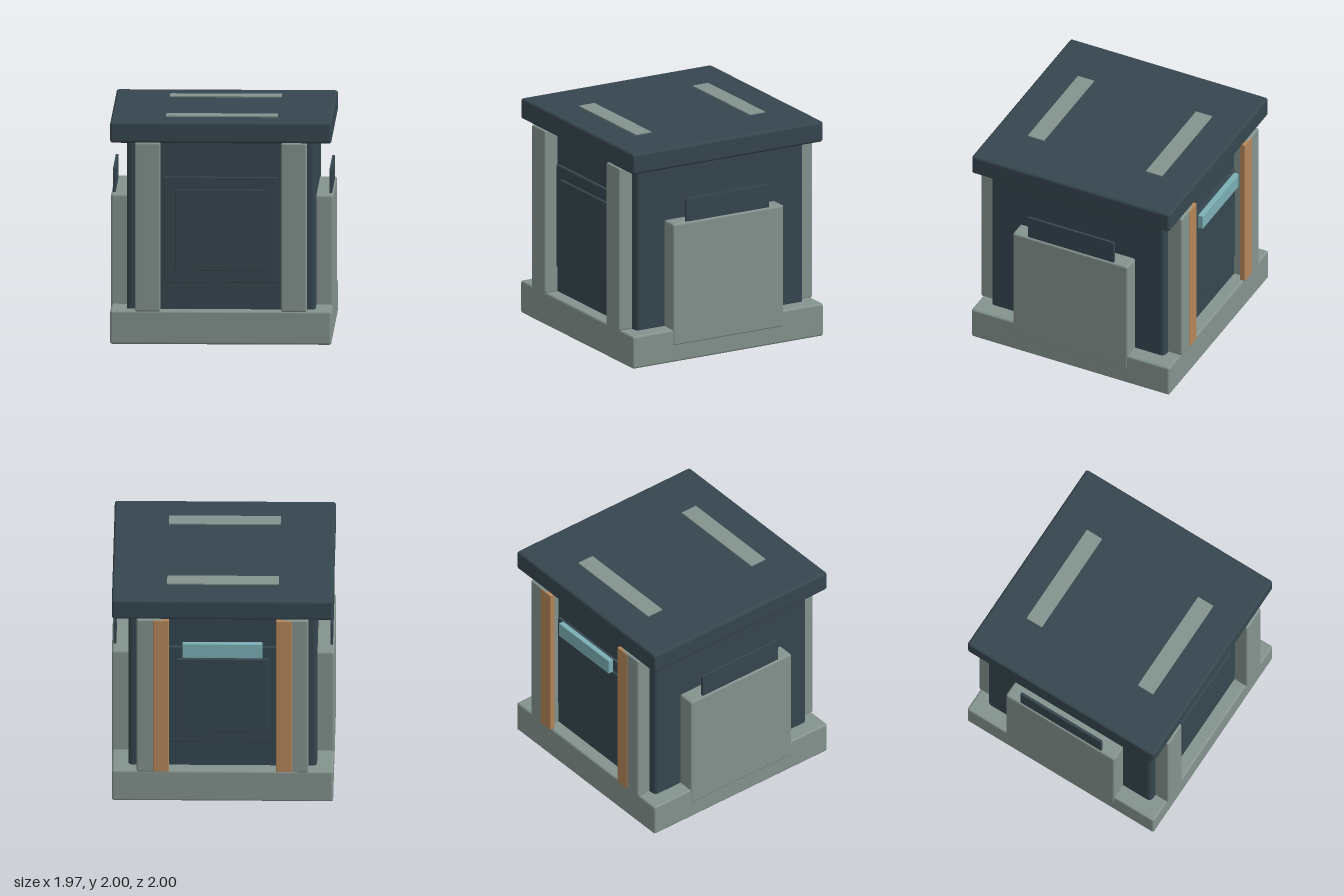
import * as THREE from 'three';
import { RoundedBoxGeometry } from 'three/addons/geometries/RoundedBoxGeometry.js';

export function createModel() {
  const model = new THREE.Group();
  model.name = 'kiosk';

  const material = (name, color) => {
    const m = new THREE.MeshStandardMaterial({ color });
    m.name = name;
    return m;
  };
  const slate = material('slate', 0x36464f);
  const stone = material('stone', 0x84938e);
  const copper = material('copper', 0xb4865a);
  const aqua = material('aqua', 0x7bafb5);

  // Box given by its min and max corners, rounded when r > 0
  const box = (name, mat, [x0, y0, z0], [x1, y1, z1], r = 0) => {
    const size = [x1 - x0, y1 - y0, z1 - z0];
    const geometry = r > 0
      ? new RoundedBoxGeometry(...size, 3, r)
      : new THREE.BoxGeometry(...size);
    const mesh = new THREE.Mesh(geometry, mat);
    mesh.name = name;
    mesh.position.set((x0 + x1) / 2, (y0 + y1) / 2, (z0 + z1) / 2);
    model.add(mesh);
    return mesh;
  };

  // Same box mirrored to both sides of an axis (0 = x, 2 = z)
  const mirrored = (axis, name, mat, min, max, r) => {
    box(name, mat, min, max, r);
    const a = [...min], b = [...max];
    a[axis] = -max[axis];
    b[axis] = -min[axis];
    box(name, mat, a, b, r);
  };

  // Main blocks
  box('base', stone, [-0.98, 0, -0.98], [0.98, 0.3, 0.98], 0.02);
  box('body', slate, [-0.836, 0.24, -0.86], [0.836, 1.86, 0.86], 0.04);
  box('roof', slate, [-0.98, 1.8, -0.98], [0.98, 1.99, 0.98], 0.025);

  // Corner posts on front and back
  for (const x of [-0.76, 0.535]) {
    mirrored(2, 'post', stone, [x, 0.295, 0.82], [x + 0.225, 1.805, 0.995], 0.015);
  }

  // Stepped panels on front and back
  mirrored(2, 'outerPanel', slate, [-0.505, 0.54, 0.84], [0.505, 1.485, 0.89], 0.006);
  mirrored(2, 'innerPanel', slate, [-0.405, 0.65, 0.85], [0.405, 1.375, 0.915], 0.006);

  // Side housings with a thin fin rising from each
  mirrored(0, 'sideHousing', stone, [0.8, 0.15, -0.57], [0.985, 1.28, 0.57], 0.02);
  mirrored(0, 'sideFin', slate, [0.947, 1.2, -0.425], [0.971, 1.49, 0.425]);

  // Roof strips
  mirrored(2, 'roofStrip', stone, [-0.495, 1.98, 0.505], [0.495, 2, 0.665]);

  // Back trim and light bar
  mirrored(0, 'backTrim', copper, [0.475, 0.3, -1], [0.615, 1.8, -0.945], 0.008);
  box('lightBar', aqua, [-0.355, 1.43, -1], [0.355, 1.57, -0.95], 0.006);

  return model;
}
